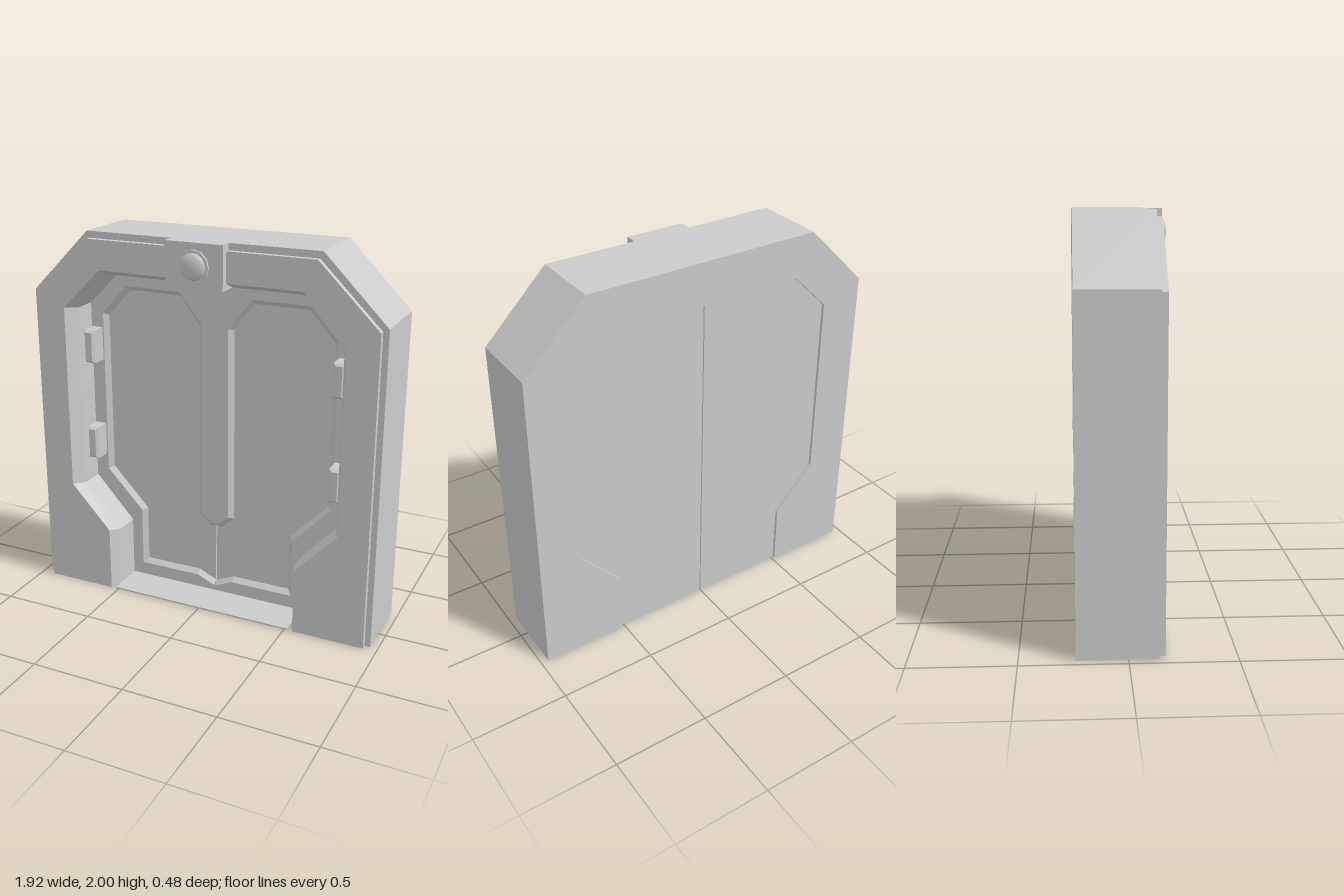
import * as THREE from 'three';

const mat = new THREE.MeshStandardMaterial({ color: 0xcccccc, side: THREE.DoubleSide, flatShading: true });
const smooth = new THREE.MeshStandardMaterial({ color: 0xcccccc });

function add(parent, name, geo, x = 0, y = 0, z = 0, material = mat) {
  const mesh = new THREE.Mesh(geo, material);
  mesh.name = name;
  mesh.position.set(x, y, z);
  parent.add(mesh);
  return mesh;
}

// Quads joining consecutive rows; each row is { pts: [[x, y]...], z }
function loft(rows) {
  const pos = [];
  for (let r = 0; r < rows.length - 1; r++) {
    const A = rows[r], B = rows[r + 1];
    for (let i = 0; i < A.pts.length - 1; i++) {
      const a0 = [...A.pts[i], A.z], a1 = [...A.pts[i + 1], A.z];
      const b0 = [...B.pts[i], B.z], b1 = [...B.pts[i + 1], B.z];
      pos.push(...a0, ...b0, ...b1, ...a0, ...b1, ...a1);
    }
  }
  const geo = new THREE.BufferGeometry();
  geo.setAttribute('position', new THREE.Float32BufferAttribute(pos, 3));
  geo.computeVertexNormals();
  return geo;
}

const shapeOf = (pts) => new THREE.Shape(pts.map(([x, y]) => new THREE.Vector2(x, y)));
// Right half of an arch, completed by its mirror image
const arch = (half) => [...half, ...half.map(([x, y]) => [-x, y]).reverse()];

// Arch outlines, all with matching stations
const body = arch([[0.96, 0], [0.96, 0.34], [0.96, 0.58], [0.96, 1.67], [0.63, 2]]);
const plate = arch([[0.93, 0], [0.93, 0.34], [0.93, 0.58], [0.93, 1.655], [0.615, 1.965]]);
const mouth = arch([[0.545, 0], [0.545, 0.355], [0.77, 0.595], [0.77, 1.595], [0.55, 1.81]]);
const throat = arch([[0.515, 0], [0.515, 0.34], [0.735, 0.58], [0.735, 1.58], [0.54, 1.775]]);

// Recessed door panel: upper lip and floor outlines
const lip = [[0, 0.42], [0.02, 0.42], [0.075, 0.47], [0.07, 1.525], [0.2, 1.69], [0.515, 1.69],
  [0.66, 1.53], [0.66, 0.63], [0.45, 0.41], [0.45, 0.08], [0.1, 0.08], [0, 0.035]];
const floor = [[0, 0.395], [0.03, 0.395], [0.1, 0.46], [0.095, 1.515], [0.205, 1.665], [0.5, 1.665],
  [0.635, 1.515], [0.635, 0.64], [0.425, 0.42], [0.425, 0.105], [0.1, 0.105], [0, 0.06]];
const leaf = [[0, 0], [0.81, 0], [0.81, 1.6], [0.58, 1.83], [0, 1.83]];

const DOOR_FRONT = -0.04, PANEL = -0.065, DOOR_BACK = -0.225;

function createDoor() {
  const door = new THREE.Group();
  const slab = new THREE.ExtrudeGeometry(shapeOf(leaf), { depth: PANEL - DOOR_BACK, bevelEnabled: false });
  add(door, 'doorSlab', slab, 0, 0, DOOR_BACK);
  add(door, 'doorRim', new THREE.ShapeGeometry(shapeOf([...leaf, ...lip])), 0, 0, DOOR_FRONT);
  add(door, 'panelChamfer', loft([{ pts: lip, z: DOOR_FRONT }, { pts: floor, z: PANEL }]));
  return door;
}

export function createModel() {
  const model = new THREE.Group();
  model.name = 'doorway';

  // Hollow frame, open underneath
  add(model, 'frame', loft([
    { pts: throat, z: -0.24 }, { pts: throat, z: 0.09 }, { pts: mouth, z: 0.17 },
    { pts: plate, z: 0.17 }, { pts: plate, z: 0.14 }, { pts: body, z: 0.14 },
    { pts: body, z: -0.24 }, { pts: throat, z: -0.24 },
  ]));

  // Mirrored door leaves and wall clips
  const clip = new THREE.ExtrudeGeometry(
    shapeOf([[-0.018, -0.078], [0.018, -0.078], [0.018, 0.078], [-0.018, 0.078]]),
    { depth: 0.085, bevelThickness: 0.015, bevelSize: 0.012, bevelSegments: 1 });
  for (const side of [1, -1]) {
    const door = createDoor();
    door.name = side > 0 ? 'leftDoor' : 'rightDoor';
    door.position.x = side * 0.003;
    door.scale.x = side;
    model.add(door);
    for (const y of [0.81, 1.36]) add(model, 'wallClip', clip, side * 0.7, y, -0.04);
  }
  add(model, 'doorSeam', new THREE.BoxGeometry(0.02, 1.82, 0.13), 0, 0.911, -0.145);
  add(model, 'sill', new THREE.BoxGeometry(1.03, 0.008, 0.21), 0, 0.004, 0.065);

  // Keystone block with its round lamp
  add(model, 'keystone', new THREE.BoxGeometry(0.31, 0.225, 0.125), 0, 1.8875, 0.1425);
  const ring = new THREE.CylinderGeometry(0.083, 0.083, 0.014, 12).rotateX(Math.PI / 2);
  add(model, 'lampRing', ring, 0, 1.885, 0.21);
  const dome = new THREE.SphereGeometry(0.068, 16, 6, 0, Math.PI * 2, 0, Math.PI / 2)
    .scale(1, 0.36, 1).rotateX(Math.PI / 2);
  add(model, 'lampDome', dome, 0, 1.885, 0.2155, smooth);

  return model;
}
